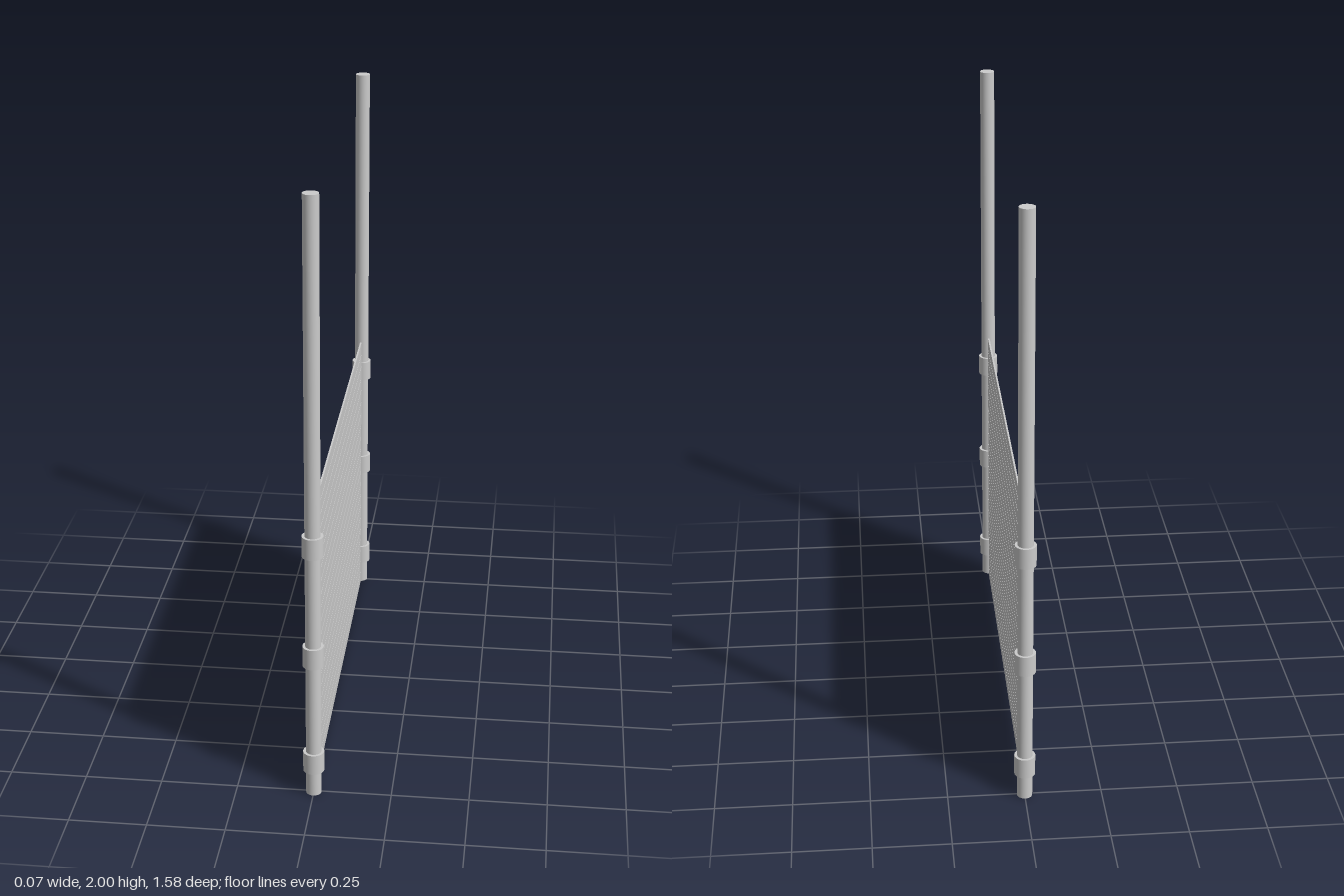
import * as THREE from 'three';

const POST_Z = 0.754;
const PANEL_HEIGHT = 1;
const SLATS = 21;

export function createModel() {
  const model = new THREE.Group();
  model.name = 'slattedPanelBetweenPosts';
  const material = new THREE.MeshStandardMaterial({ color: 0xcccccc });

  const add = (name, geometry, y, z) => {
    const mesh = new THREE.Mesh(geometry, material);
    mesh.name = name;
    mesh.position.set(0, y, z);
    model.add(mesh);
  };

  // Two tall round posts, each with three clamp collars
  const post = new THREE.CylinderGeometry(0.025, 0.025, 2, 32);
  const collar = new THREE.CylinderGeometry(0.034, 0.034, 0.069, 32);
  for (const [side, z] of [['front', POST_Z], ['back', -POST_Z]]) {
    add(`${side}Post`, post, 1, z);
    for (const y of [0.118, 0.5, 0.882]) add(`${side}Collar`, collar, y, z);
  }

  // Thin horizontal slats stacked with narrow gaps
  const pitch = PANEL_HEIGHT / SLATS;
  const slat = new THREE.BoxGeometry(0.006, pitch - 0.004, 1.442);
  for (let i = 0; i < SLATS; i++) add('slat', slat, (i + 0.5) * pitch, 0);

  return model;
}
